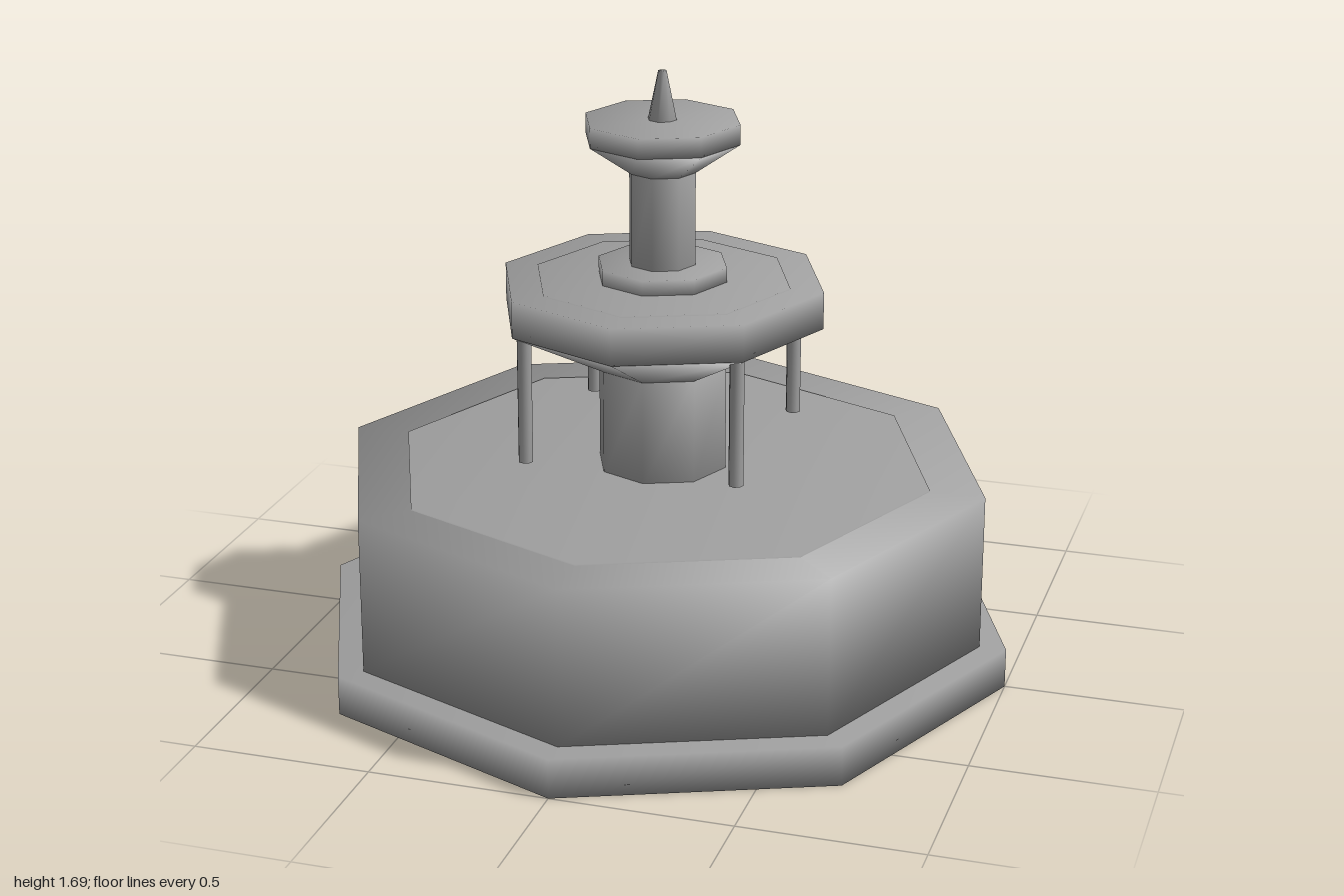
import * as THREE from 'three';
import { mergeVertices } from 'three/addons/utils/BufferGeometryUtils.js';

const SIDES = 8;

export function createModel() {
  const fountain = new THREE.Group();
  fountain.name = 'fountain';
  const stone = new THREE.MeshStandardMaterial({ color: 0xa0a0a0 });
  stone.name = 'stone';

  // Octagonal tier with softly shared normals, from height y0 to y1
  function tier(name, bottomRadius, topRadius, y0, y1, x = 0, z = 0) {
    let geometry = new THREE.CylinderGeometry(topRadius, bottomRadius, y1 - y0, SIDES);
    geometry.deleteAttribute('normal');
    geometry.deleteAttribute('uv');
    geometry = mergeVertices(geometry, 1e-4);
    geometry.computeVertexNormals();
    const mesh = new THREE.Mesh(geometry, stone);
    mesh.name = name;
    mesh.position.set(x, (y0 + y1) / 2, z);
    fountain.add(mesh);
  }

  // Plinth, main basin and its water surface
  tier('plinth', 1, 1, 0, 0.112);
  tier('basin', 0.925, 0.925, 0.112, 0.558);
  tier('basinWater', 0.77, 0.77, 0.5, 0.562);

  // Middle column and bowl
  tier('lowerColumn', 0.185, 0.185, 0.55, 0.86);
  tier('middleBowl', 0.185, 0.46, 0.858, 1.0);
  tier('middleBowlRim', 0.46, 0.46, 1.0, 1.104);
  tier('middleBowlWater', 0.365, 0.365, 1.05, 1.108);

  // Upper column and bowl
  tier('collar', 0.185, 0.185, 1.1, 1.15);
  tier('upperColumn', 0.095, 0.095, 1.14, 1.415);
  tier('topBowl', 0.095, 0.22, 1.412, 1.5);
  tier('topBowlRim', 0.22, 0.22, 1.5, 1.556);

  // Pointed finial
  tier('finial', 0.042, 0.012, 1.55, 1.69);

  // Four water streams hanging under the middle bowl
  for (const x of [-0.3, 0.3]) {
    for (const z of [-0.3, 0.3]) tier('waterStream', 0.021, 0.021, 0.638, 1.04, x, z);
  }

  return fountain;
}
